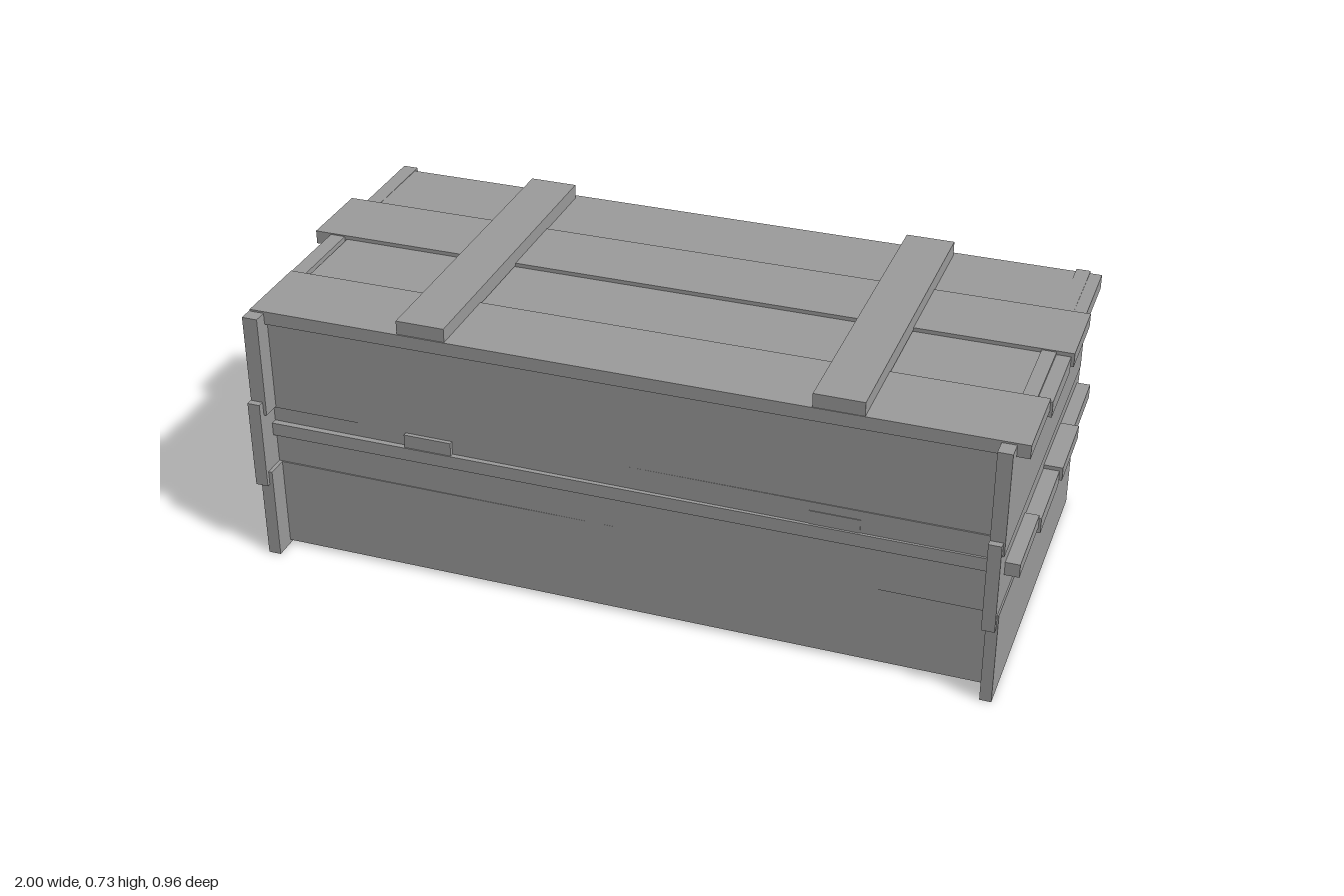
import * as THREE from 'three';

const grey = new THREE.MeshStandardMaterial({ color: 0x9c9c9c, flatShading: true });

// Box plank given by its bounds, with an optional slight yaw
function plank(name, [x0, x1], [y0, y1], [z0, z1], yaw = 0) {
  const mesh = new THREE.Mesh(new THREE.BoxGeometry(x1 - x0, y1 - y0, z1 - z0), grey);
  mesh.position.set((x0 + x1) / 2, (y0 + y1) / 2, (z0 + z1) / 2);
  mesh.rotation.y = yaw;
  mesh.name = name;
  return mesh;
}

function outline(points) {
  return new THREE.Shape(points.map(([x, y]) => new THREE.Vector2(x, y)));
}

// Lid of four uneven boards with two battens across
function makeLid(name, leftBattenZ) {
  const lid = new THREE.Group();
  lid.name = name;
  const boards = [
    { x: [-0.955, 0.985], y: [-0.04, -0.002], z: [-0.447, -0.227] },
    { x: [-1.0, 0.997], y: [-0.035, 0.001], z: [-0.227, -0.016] },
    { x: [-0.91, 0.99], y: [-0.05, -0.009], z: [-0.016, 0.207] },
    { x: [-0.955, 0.985], y: [-0.035, 0], z: [0.207, 0.426] },
  ];
  boards.forEach((b, i) => lid.add(plank('lidBoard' + (i + 1), b.x, b.y, b.z, 0.004)));
  lid.add(plank('leftBatten', [0.48, 0.605], [-0.005, 0.036], leftBattenZ));
  lid.add(plank('rightBatten', [-0.56, -0.435], [-0.005, 0.036], [-0.43, 0.425]));
  return lid;
}

// End wall: three overlapping boards, the top one with a hand hole
function makeEnd(name, lower, lowerZ, middle, upper) {
  const end = new THREE.Group();
  end.name = name;
  end.add(plank('lowerEndBoard', lower, [0, 0.25], lowerZ));
  end.add(plank('middleEndBoard', middle, [0.212, 0.45], [-0.48, 0.482]));
  const shape = outline([[-0.465, 0.413], [0.46, 0.413], [0.46, 0.69], [-0.465, 0.685]]);
  shape.holes.push(outline([[-0.088, 0.585], [-0.05, 0.562], [0.018, 0.558], [0.07, 0.587], [0, 0.595]]));
  const geo = new THREE.ExtrudeGeometry(shape, { depth: upper[1] - upper[0], bevelEnabled: false });
  geo.rotateY(Math.PI / 2).translate(upper[0], 0, 0);
  const board = new THREE.Mesh(geo, grey);
  board.name = 'handleBoard';
  end.add(board);
  return end;
}

export function createModel() {
  const crate = new THREE.Group();
  crate.name = 'woodenCrate';

  crate.add(makeEnd('leftEnd', [0.925, 0.954], [-0.453, 0.466], [0.918, 0.95], [0.918, 0.954]));
  crate.add(makeEnd('rightEnd', [-0.948, -0.915], [-0.47, 0.472], [-0.958, -0.925], [-0.957, -0.917]));

  // Long walls: boards overlap and lean through each other slightly
  const long = [-0.925, 0.925];
  for (const [name, s] of [['front', 1], ['back', -1]]) {
    const wall = new THREE.Group();
    wall.name = name + 'Wall';
    const span = s > 0 ? [0.385, 0.415] : [-0.42, -0.39];
    wall.add(plank('lowerWallBoard', long, [0.01, 0.25], span, 0.002));
    wall.add(plank('middleWallBoard', long, [0.22, 0.43], span, -0.002));
    if (s > 0) wall.add(plank('upperWallBoard', long, [0.41, 0.685], span, 0.002));
    crate.add(wall);
  }

  // Upper back board with a piece broken out of its top edge
  const broken = outline([
    [-0.925, 0.41], [0.925, 0.41], [0.925, 0.675], [0.1, 0.675], [-0.08, 0.64],
    [-0.22, 0.59], [-0.38, 0.58], [-0.54, 0.625], [-0.58, 0.675], [-0.925, 0.675],
  ]);
  const brokenGeo = new THREE.ExtrudeGeometry(broken, { depth: 0.03, bevelEnabled: false });
  const brokenBoard = new THREE.Mesh(brokenGeo.translate(0, 0, -0.42), grey);
  brokenBoard.name = 'brokenBackBoard';
  crate.add(brokenBoard);

  // Floor boards, set just inside the walls
  for (let i = 0; i < 4; i++) {
    const z = -0.39 + i * 0.195;
    crate.add(plank('floorBoard' + (i + 1), [-0.92, 0.925], [0.025 + (i % 2) * 0.005, 0.06], [z, z + 0.192]));
  }

  // Top lid and a matching one halfway down
  const topLid = makeLid('topLid', [-0.435, 0.422]);
  topLid.position.y = 0.69;
  const middleLid = makeLid('middleLid', [-0.415, 0.418]);
  middleLid.position.y = 0.37;
  crate.add(topLid, middleLid);

  return crate;
}
